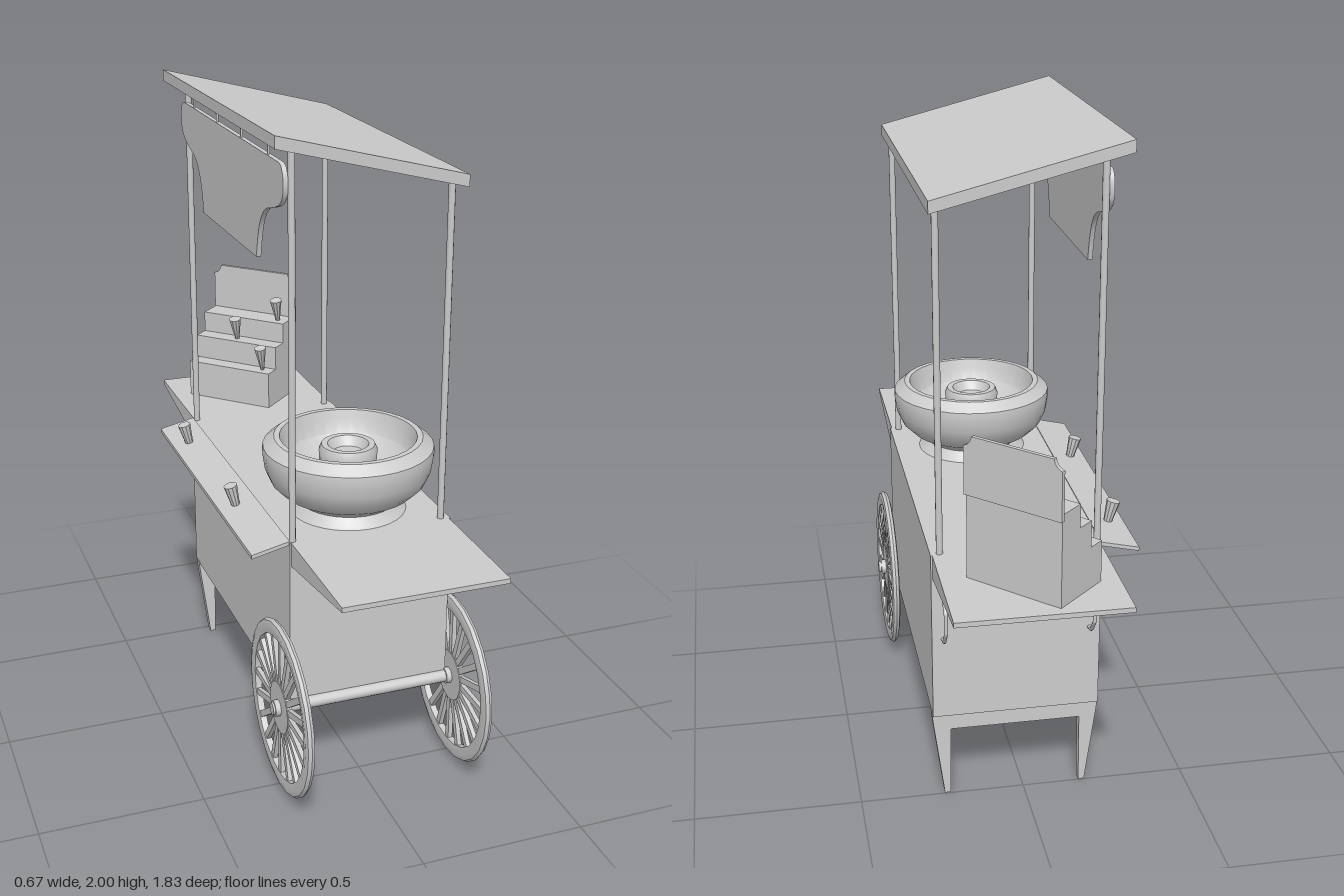
import * as THREE from 'three';
import { toCreasedNormals } from 'three/addons/utils/BufferGeometryUtils.js';

const material = new THREE.MeshStandardMaterial({ color: 0xcccccc, side: THREE.DoubleSide });
const V2 = (p) => new THREE.Vector2(p[0], p[1]);

export function createModel() {
  const root = new THREE.Group();
  root.name = 'vendorCart';

  function add(name, geometry, x = 0, y = 0, z = 0, parent = root) {
    const mesh = new THREE.Mesh(geometry, material);
    mesh.name = name;
    mesh.position.set(x, y, z);
    parent.add(mesh);
    return mesh;
  }
  const box = (w, h, d) => new THREE.BoxGeometry(w, h, d);
  const lathe = (pts, n, crease = 0.6) => toCreasedNormals(new THREE.LatheGeometry(pts.map(V2), n), crease);
  // Outline extruded along z, centred on z = 0
  function prism(pts, depth) {
    const g = new THREE.ExtrudeGeometry(new THREE.Shape(pts.map(V2)), { depth, bevelEnabled: false });
    return g.translate(0, 0, -depth / 2);
  }
  // Outline in (z, y), extruded along x, centred on x = 0
  const sidePrism = (pts, width) => prism(pts.map(([z, y]) => [-z, y]), width).rotateY(Math.PI / 2);

  // Cabinet
  add('cabinet', box(0.505, 0.535, 1.02), 0.025, 0.5475, 0);

  // Wedge shelves at both ends
  for (const s of [1, -1]) {
    const wedge = [[0.51, 0.74], [0.915, 0.8], [0.915, 0.815], [0.51, 0.815]].map(([z, y]) => [z * s, y]);
    add(s > 0 ? 'frontShelf' : 'rearShelf', sidePrism(wedge, 0.495), 0.025);
  }

  // Rear legs joined by an apron
  const half = [[0.255, 0.285], [0.25, 0.24], [0.218, 0], [0.2, 0], [0.198, 0.225]];
  const legs = [...half, ...half.map(([x, y]) => [-x, y]).reverse()];
  add('rearLegs', prism(legs, 0.03), 0.025, 0, -0.482);

  // Canopy posts, up to the sloping roof
  for (const [x, top] of [[-0.215, 1.955], [0.25, 1.84]]) {
    for (const z of [-0.497, 0.497]) {
      add('canopyPost', new THREE.CylinderGeometry(0.01, 0.01, top - 0.81, 10), x, (top + 0.81) / 2, z);
    }
  }
  add('roof', prism([[-0.28, 1.965], [0.275, 1.823], [0.275, 1.858], [-0.28, 2]], 1.11));

  // Hanging sign board with scooped lower corners
  const sign = new THREE.Shape();
  sign.moveTo(-0.265, 1.6);
  sign.lineTo(0.265, 1.6);
  sign.bezierCurveTo(0.285, 1.7, 0.31, 1.755, 0.39, 1.77);
  sign.bezierCurveTo(0.45, 1.785, 0.5, 1.8, 0.5, 1.85);
  sign.quadraticCurveTo(0.5, 1.91, 0.46, 1.91);
  sign.lineTo(-0.46, 1.91);
  sign.quadraticCurveTo(-0.5, 1.91, -0.5, 1.85);
  sign.bezierCurveTo(-0.5, 1.8, -0.45, 1.785, -0.39, 1.77);
  sign.bezierCurveTo(-0.31, 1.755, -0.285, 1.7, -0.265, 1.6);
  const signGeo = new THREE.ExtrudeGeometry(sign, { depth: 0.014, bevelEnabled: false, curveSegments: 8 });
  add('signBoard', toCreasedNormals(signGeo, 0.6).rotateY(Math.PI / 2), -0.239);
  for (const z of [-0.36, -0.12, 0.12, 0.36]) {
    add('signHanger', new THREE.CylinderGeometry(0.004, 0.004, 0.06, 6), -0.232, 1.93, z);
  }

  // Spinning bowl: foot, belly, rim and hollow inside
  add('bowl', lathe([
    [0.18, 0.812], [0.168, 0.822], [0.15, 0.845], [0.165, 0.858], [0.2, 0.877], [0.232, 0.908],
    [0.25, 0.95], [0.257, 1.0], [0.255, 1.018], [0.222, 1.045], [0.205, 1.045], [0.198, 1.02],
    [0.185, 0.975], [0.15, 0.945], [0.1, 0.93], [0, 0.93],
  ], 32), 0.022, 0, 0.323);
  add('spinnerHead', lathe([
    [0.07, 0.92], [0.085, 0.95], [0.088, 1.0], [0.08, 1.018], [0.062, 1.018], [0.052, 1.0], [0.045, 0.99], [0, 0.99],
  ], 24), 0.022, 0, 0.323);

  // Spoked wheels on a shared axle
  const wheelX = [-0.257, 0.298];
  const spokes = 20;
  for (const x of wheelX) {
    const wheel = new THREE.Group();
    wheel.name = 'wheel';
    wheel.position.set(x, 0.28, 0.515);
    root.add(wheel);
    const rim = lathe([[0.225, -0.01], [0.25, -0.014], [0.265, -0.01], [0.271, 0],
      [0.265, 0.01], [0.25, 0.014], [0.225, 0.01], [0.225, -0.01]], 24);
    add('rim', rim.rotateZ(Math.PI / 2), 0, 0, 0, wheel);
    add('hubDisc', new THREE.CylinderGeometry(0.08, 0.08, 0.018, 24).rotateZ(Math.PI / 2), 0, 0, 0, wheel);
    add('hubCollar', new THREE.CylinderGeometry(0.025, 0.025, 0.05, 12).rotateZ(Math.PI / 2), 0, 0, 0, wheel);
    for (let i = 0; i < spokes; i++) {
      const spoke = box(0.014, 0.165, 0.02).translate(0, 0.15, 0);
      add('spoke', spoke, 0, 0, 0, wheel).rotation.x = (i / spokes) * Math.PI * 2;
    }
  }
  add('axle', new THREE.CylinderGeometry(0.019, 0.019, 0.62, 12).rotateZ(Math.PI / 2), 0.022, 0.28, 0.515);

  // Two bent pull handles on the back
  const handlePts = [[0.7, -0.505], [0.694, -0.54], [0.655, -0.578], [0.595, -0.578], [0.548, -0.54], [0.54, -0.505]];
  const handlePath = new THREE.CurvePath();
  for (let i = 1; i < handlePts.length; i++) {
    const [a, b] = [handlePts[i - 1], handlePts[i]].map(([y, z]) => new THREE.Vector3(0, y, z));
    handlePath.add(new THREE.LineCurve3(a, b));
  }
  for (const x of [-0.195, 0.245]) {
    add('pullHandle', new THREE.TubeGeometry(handlePath, 30, 0.006, 8), x);
  }

  // Cone: pointed end down, tilted within its holder
  function addCone(x, y, z, height, tilt, parent) {
    const g = toCreasedNormals(new THREE.CylinderGeometry(0.021, 0.004, height, 10), 0.6);
    add('cone', g, x, y, z, parent).rotation.set(...tilt);
  }

  // Sloping side tray with cones standing through it
  add('sideTray', prism([[-0.34, 0.78], [-0.225, 0.806], [-0.225, 0.818], [-0.34, 0.792]], 1.015), 0, 0, -0.005);
  for (const z of [-0.34, 0.18]) addCone(-0.286, 0.798, z, 0.145, [0, 0, 0.24], root);

  // Stepped display stand, turned on the rear shelf
  const stand = new THREE.Group();
  stand.name = 'displayStand';
  stand.position.set(0.015, 0, -0.703);
  stand.rotation.y = -0.8;
  root.add(stand);
  add('steps', sidePrism([
    [-0.1, 0.812], [0.1, 0.812], [0.1, 0.94], [0.045, 0.94], [0.045, 1.02],
    [-0.012, 1.02], [-0.012, 1.09], [-0.1, 1.09],
  ], 0.315), 0, 0, 0, stand);

  // Back board with notched, rounded top corners
  const board = new THREE.Shape();
  board.moveTo(-0.16, 1.07);
  board.lineTo(0.16, 1.07);
  board.lineTo(0.16, 1.215);
  board.quadraticCurveTo(0.138, 1.22, 0.133, 1.245);
  board.lineTo(-0.133, 1.245);
  board.quadraticCurveTo(-0.138, 1.22, -0.16, 1.215);
  board.lineTo(-0.16, 1.07);
  add('backBoard', new THREE.ExtrudeGeometry(board, { depth: 0.012, bevelEnabled: false }), 0, 0, -0.108, stand);

  // One cone on each step
  const stepCones = [[0.12, 1.118, -0.04], [-0.012, 1.048, 0.018], [0.115, 0.975, 0.072]];
  for (const [x, y, z] of stepCones) addCone(x, y, z, 0.1, [0.2, 0, 0], stand);

  return root;
}
